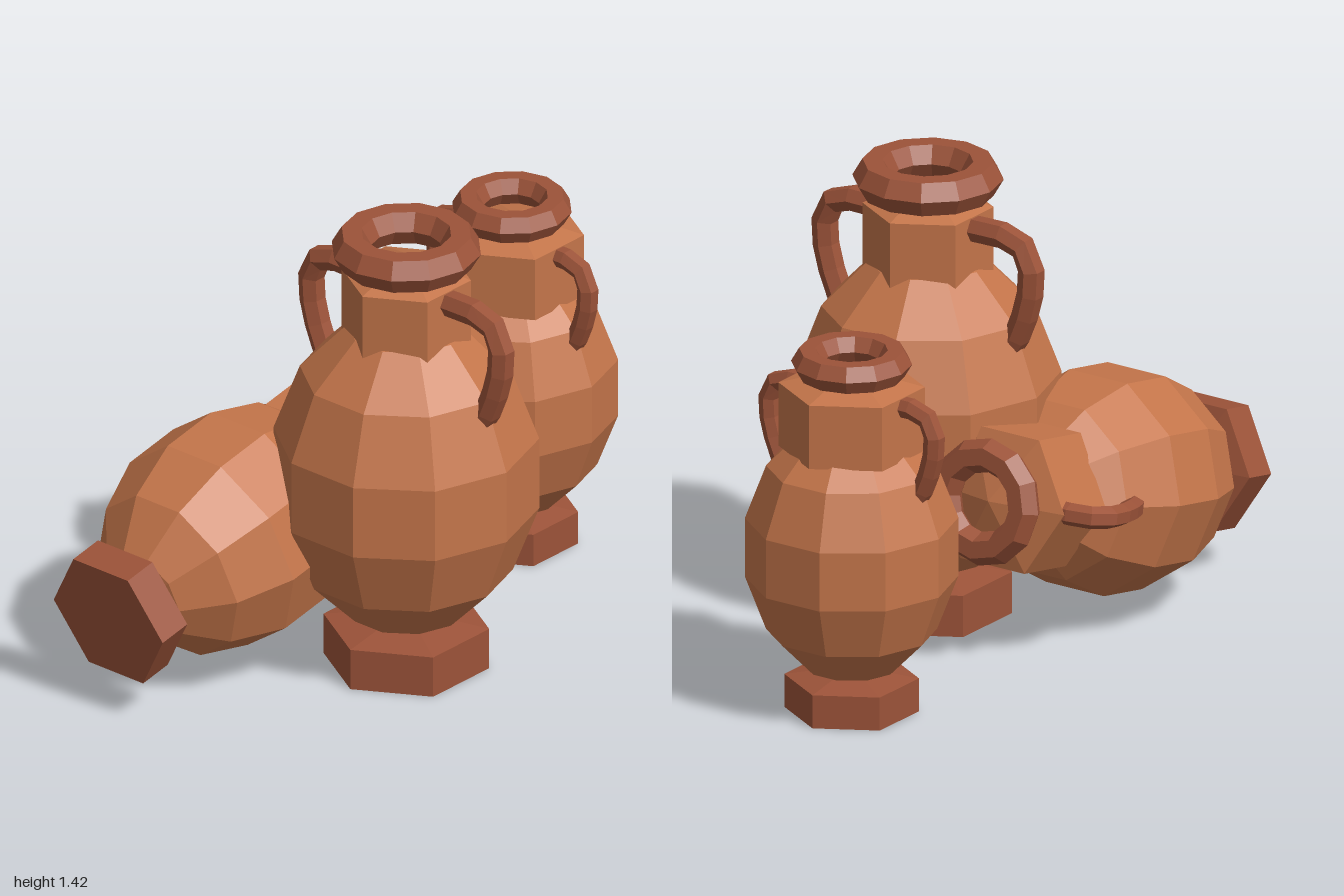
import * as THREE from 'three';

const clay = new THREE.MeshStandardMaterial({ color: 0xc4754a });
clay.name = 'terracotta';
const darkClay = new THREE.MeshStandardMaterial({ color: 0x9c5339 });
darkClay.name = 'dark terracotta';

// Faceted mesh: split the faces so every facet gets its own normal
function part(name, geometry, material) {
  const flat = geometry.index ? geometry.toNonIndexed() : geometry;
  flat.computeVertexNormals();
  const mesh = new THREE.Mesh(flat, material);
  mesh.name = name;
  return mesh;
}

// Six-sided block with a shallow pointed top
function hexBlock(radius, bottom, top, peak) {
  const profile = [[0, bottom], [radius, bottom], [radius, top], [0, peak]];
  return new THREE.LatheGeometry(profile.map(([r, y]) => new THREE.Vector2(r, y)), 6);
}

// Tube from the neck out and down to the shoulder; side is +1 or -1
function handle(side) {
  const points = [[0.12, 1.24], [0.31, 1.237], [0.362, 1.2], [0.375, 1.11], [0.33, 0.95], [0.28, 0.87]];
  const path = new THREE.CurvePath();
  const v = points.map(([x, y]) => new THREE.Vector3(side * x, y, 0));
  const curve = new THREE.CatmullRomCurve3(v, false, 'centripetal');
  return new THREE.TubeGeometry(curve, 8, 0.04, 6, false);
}

function amphora(name, neckRadius, hexTurn) {
  const jar = new THREE.Group();
  jar.name = name;

  const foot = part('foot', hexBlock(0.25, 0, 0.13, 0.172), darkClay);
  foot.rotation.y = hexTurn;

  // Egg-shaped belly
  const belly = part('belly',
    new THREE.SphereGeometry(0.405, 10, 7).scale(1, 1.276, 1).translate(0, 0.64, 0), clay);

  const neck = part('neck', hexBlock(neckRadius, 1.03, 1.28, 1.35), clay);
  neck.rotation.y = hexTurn;

  const rim = part('rim',
    new THREE.TorusGeometry(0.165, 0.06, 6, 12).rotateX(-Math.PI / 2).translate(0, 1.368, 0), darkClay);

  jar.add(foot, belly, neck, rim);
  for (const side of [1, -1]) {
    jar.add(part(side > 0 ? 'leftHandle' : 'rightHandle', handle(side), darkClay));
  }
  return jar;
}

export function createModel() {
  const group = new THREE.Group();
  group.name = 'amphorae';

  const large = amphora('largeJar', 0.195, 0);
  large.position.set(0.18, 0, 0.115);

  const small = amphora('smallJar', 0.272, 0);
  small.position.set(-0.12, 0, -0.695);
  small.scale.setScalar(0.8);

  // Jar lying on its side, mouth to the back
  const fallen = amphora('fallenJar', 0.272, Math.PI / 6);
  fallen.position.set(-0.245, 0.31, 0.965);
  fallen.rotation.x = -1.385;
  fallen.scale.setScalar(0.86);

  group.add(large, small, fallen);
  return group;
}
